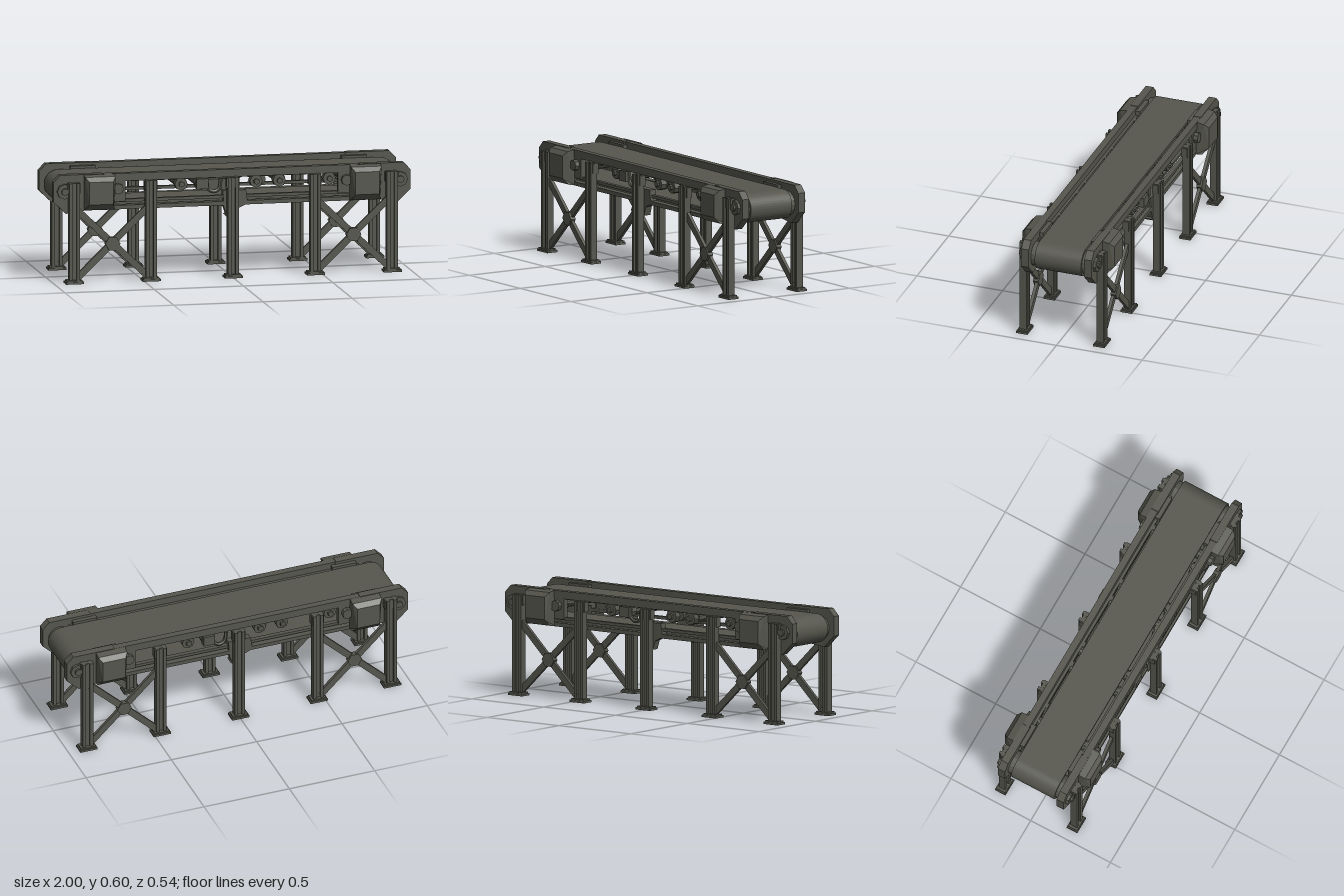
import * as THREE from 'three';

const steel = new THREE.MeshStandardMaterial({ color: 0x56564e, flatShading: true });
steel.name = 'dark steel';

function add(parent, name, geometry, x = 0, y = 0, z = 0) {
  const mesh = new THREE.Mesh(geometry, steel);
  mesh.name = name;
  mesh.position.set(x, y, z);
  parent.add(mesh);
  return mesh;
}

// Box given by its minimum and maximum on each axis
function box(parent, name, x0, x1, y0, y1, z0, z1) {
  return add(parent, name, new THREE.BoxGeometry(x1 - x0, y1 - y0, z1 - z0),
    (x0 + x1) / 2, (y0 + y1) / 2, (z0 + z1) / 2);
}

// Outline in x and y, extruded from z0 to z1
function plate(parent, name, points, z0, z1) {
  const shape = new THREE.Shape(points.map(([x, y]) => new THREE.Vector2(x, y)));
  return add(parent, name, new THREE.ExtrudeGeometry(shape, { depth: z1 - z0, bevelEnabled: false }), 0, 0, z0);
}

// Cylinder lying along z
function rod(parent, name, r, x, y, z0, z1, sides = 10) {
  const g = new THREE.CylinderGeometry(r, r, z1 - z0, sides).rotateX(Math.PI / 2);
  return add(parent, name, g, x, y, (z0 + z1) / 2);
}

// Flat bar between two points in the xy plane
function bar(parent, name, x0, y0, x1, y1, width, z0, z1) {
  const g = new THREE.BoxGeometry(Math.hypot(x1 - x0, y1 - y0), width, z1 - z0);
  const m = add(parent, name, g, (x0 + x1) / 2, (y0 + y1) / 2, (z0 + z1) / 2);
  m.rotation.z = Math.atan2(y1 - y0, x1 - x0);
  return m;
}

// Closed loop with round ends
function stadium(path, half, r, y) {
  path.moveTo(-half, y - r);
  path.lineTo(half, y - r);
  path.absarc(half, y, r, -Math.PI / 2, Math.PI / 2, false);
  path.lineTo(-half, y + r);
  path.absarc(-half, y, r, Math.PI / 2, Math.PI * 1.5, false);
  return path;
}

function makeBelt() {
  const shape = stadium(new THREE.Shape(), 0.9, 0.08, 0.492);
  shape.holes.push(stadium(new THREE.Path(), 0.9, 0.066, 0.492));
  const g = new THREE.ExtrudeGeometry(shape, { depth: 0.27, bevelEnabled: false, curveSegments: 10 });
  return g.translate(0, 0, -0.135);
}

// Leg with grooved front and back, on a foot plate
function makeLeg(x) {
  const leg = new THREE.Group();
  leg.name = 'leg';
  const outline = [[-0.03, -0.02], [-0.012, -0.02], [-0.012, -0.008], [0.012, -0.008], [0.012, -0.02], [0.03, -0.02],
    [0.03, 0.02], [0.012, 0.02], [0.012, 0.008], [-0.012, 0.008], [-0.012, 0.02], [-0.03, 0.02]];
  const post = plate(leg, 'legPost', outline, 0, 0.54);
  post.rotation.x = -Math.PI / 2;
  post.position.set(0, 0.018, 0.225);
  box(leg, 'footPlate', -0.05, 0.05, 0, 0.012, 0.192, 0.258);
  box(leg, 'footCollar', -0.043, 0.043, 0.012, 0.02, 0.197, 0.253);
  box(leg, 'legBracket', -0.036, 0.036, 0.5, 0.555, 0.2, 0.235);
  leg.position.x = x;
  return leg;
}

// Gear housing: chamfered cross-section in z and y, narrowed on its outer face
function makeHousing() {
  const s = new THREE.Shape([[0.2, 0.4], [0.235, 0.405], [0.268, 0.44], [0.268, 0.565], [0.245, 0.59], [0.2, 0.598]]
    .map(([z, y]) => new THREE.Vector2(z, y)));
  const g = new THREE.ExtrudeGeometry(s, { depth: 0.17, bevelEnabled: false });
  g.rotateY(-Math.PI / 2);
  const p = g.attributes.position;
  for (let i = 0; i < p.count; i++) {
    const x = p.getX(i) + 0.085;
    p.setX(i, x * (p.getZ(i) > 0.25 ? 0.78 : 1));
  }
  g.computeVertexNormals();
  return g;
}

// Everything on one long side
function makeSide() {
  const side = new THREE.Group();
  side.name = 'sideFrame';
  box(side, 'topRail', -0.94, 0.94, 0.555, 0.598, 0.166, 0.204);
  box(side, 'topRailLip', -0.85, 0.85, 0.548, 0.56, 0.15, 0.175);
  box(side, 'lowerRail', -0.75, 0.75, 0.398, 0.42, 0.16, 0.2);
  box(side, 'middleRail', -0.72, 0.72, 0.436, 0.452, 0.165, 0.19);

  for (const s of [-1, 1]) {
    const outline = [[1, 0.452], [1, 0.56], [0.962, 0.6], [0.72, 0.6], [0.69, 0.56], [0.69, 0.41], [0.82, 0.4], [0.93, 0.385]];
    const pts = outline.map(([x, y]) => [x * s, y]);
    plate(side, 'endPlate', s < 0 ? pts.reverse() : pts, 0.162, 0.206);
    rod(side, 'endBearing', 0.042, s * 0.94, 0.51, 0.2, 0.222, 8);
    rod(side, 'endAxleCap', 0.02, s * 0.94, 0.51, 0.2, 0.234, 8);
    add(side, 'gearHousing', makeHousing(), s * 0.745);
    box(side, 'housingInnerBlock', s * 0.76 - 0.07, s * 0.76 + 0.07, 0.47, 0.585, 0.138, 0.17);
    box(side, 'housingFlange', s * 0.63 - 0.035, s * 0.63 + 0.035, 0.44, 0.56, 0.17, 0.2);
    rod(side, 'housingCap', 0.03, s * 0.64, 0.515, 0.195, 0.225, 8);

    // Crossed braces between the outer legs
    bar(side, 'brace', s * 0.87, 0.405, s * 0.48, 0.03, 0.036, 0.217, 0.235);
    bar(side, 'brace', s * 0.87, 0.03, s * 0.48, 0.405, 0.036, 0.213, 0.231);
    const hub = add(side, 'braceHub', new THREE.CylinderGeometry(0.042, 0.042, 0.032, 6).rotateX(Math.PI / 2), s * 0.675, 0.215, 0.226);
    hub.rotation.z = Math.PI / 6;
  }
  for (const x of [-0.89, -0.46, 0, 0.46, 0.89]) side.add(makeLeg(x));

  // Hanging bracket behind the middle leg
  plate(side, 'middleBracket', [[-0.05, 0.48], [-0.045, 0.39], [-0.03, 0.345], [0.025, 0.33], [0.04, 0.38], [0.09, 0.405], [0.08, 0.48]], 0.16, 0.2);
  bar(side, 'bracketStrut', -0.03, 0.335, 0.03, 0.4, 0.022, 0.15, 0.2);

  // Roller ends, motor and cable below the top rail
  for (const x of [-0.64, -0.28, -0.17, 0.14, 0.27, 0.55]) {
    rod(side, 'rollerCap', 0.036, x, 0.522, 0.14, 0.185, 8);
    rod(side, 'rollerPin', 0.016, x, 0.522, 0.18, 0.2, 6);
    box(side, 'rollerHanger', x - 0.014, x + 0.014, 0.52, 0.56, 0.14, 0.17);
  }
  box(side, 'motorBox', -0.2, -0.135, 0.495, 0.552, 0.18, 0.215);
  const path = new THREE.CatmullRomCurve3([[-0.14, 0.55], [-0.13, 0.49], [-0.1, 0.475], [-0.07, 0.49], [-0.06, 0.55]]
    .map(([x, y]) => new THREE.Vector3(x, y, 0.19)));
  add(side, 'cable', new THREE.TubeGeometry(path, 14, 0.011, 6));
  return side;
}

export function createModel() {
  const model = new THREE.Group();
  model.name = 'conveyor';
  add(model, 'belt', makeBelt());

  // Drums at the ends and idle rollers between
  for (const s of [-1, 1]) rod(model, 'endDrum', 0.068, s * 0.9, 0.492, -0.165, 0.165, 16);
  for (const x of [-0.64, -0.28, -0.17, 0.17, 0.28, 0.64]) rod(model, 'idleRoller', 0.03, x, 0.526, -0.15, 0.15, 10);

  // The two long sides are the same frame turned half around
  const front = makeSide();
  const back = makeSide();
  back.rotation.y = Math.PI;
  model.add(front, back);
  return model;
}
